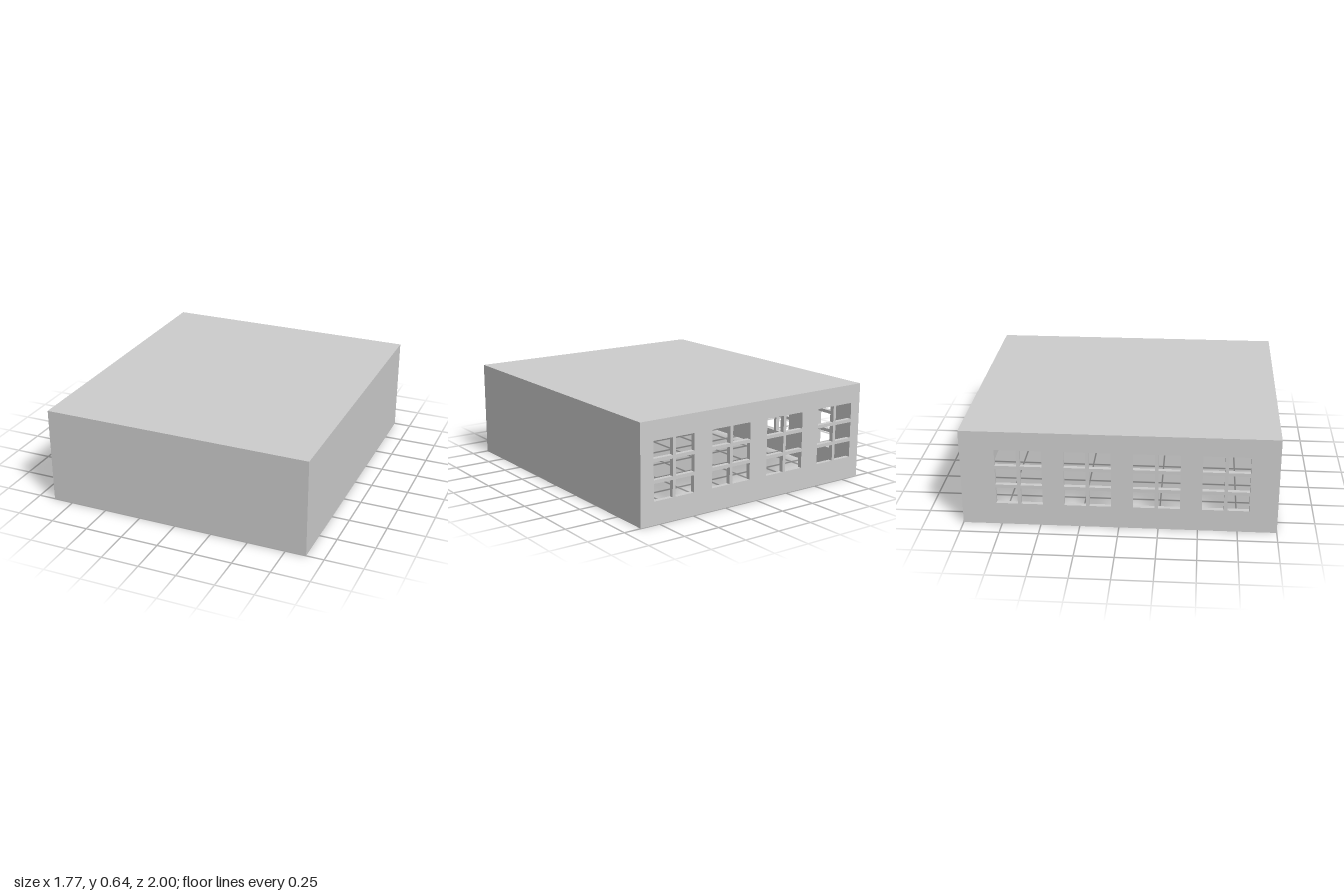
import * as THREE from 'three';

const W = 0.885, L = 1, H = 0.645, T = 0.03;      // half width, half length, height, thickness
const WIN = { w: 0.297, h: 0.373, y: 0.148, pitch: 0.4345, count: 4, cols: 2, rows: 3, bar: 0.022 };

const material = new THREE.MeshStandardMaterial({ color: 0xcccccc });

function rectangle(target, x, y, w, h) {
  target.moveTo(x, y);
  target.lineTo(x + w, y);
  target.lineTo(x + w, y + h);
  target.lineTo(x, y + h);
  target.closePath();
  return target;
}

// Upright wall from x = -half to half; windows start at firstX, panes are separated by glazing bars
function wall(name, half, firstX = null) {
  const shape = rectangle(new THREE.Shape(), -half, 0, 2 * half, H - T);
  if (firstX !== null) {
    const pw = (WIN.w - (WIN.cols - 1) * WIN.bar) / WIN.cols;
    const ph = (WIN.h - (WIN.rows - 1) * WIN.bar) / WIN.rows;
    for (let i = 0; i < WIN.count; i++)
      for (let c = 0; c < WIN.cols; c++)
        for (let r = 0; r < WIN.rows; r++)
          shape.holes.push(rectangle(new THREE.Path(),
            firstX + i * WIN.pitch + c * (pw + WIN.bar),
            WIN.y + r * (ph + WIN.bar), pw, ph));
  }
  const geometry = new THREE.ExtrudeGeometry(shape, { depth: T, bevelEnabled: false });
  const mesh = new THREE.Mesh(geometry, material);
  mesh.name = name;
  return mesh;
}

export function createModel() {
  const group = new THREE.Group();
  group.name = 'room';

  // Flat roof, its underside is the ceiling
  const roof = new THREE.Mesh(new THREE.BoxGeometry(2 * W, T, 2 * L), material);
  roof.name = 'roof';
  roof.position.y = H - T / 2;

  // Plain front wall and windowed back wall
  const front = wall('frontWall', W);
  front.position.z = L - T;
  const back = wall('backWindowWall', W, -0.81);
  back.position.z = -L;

  // Side walls fit between front and back; the one at -x has windows
  const left = wall('leftWall', L - T);
  left.rotation.y = -Math.PI / 2;
  left.position.x = W;
  const right = wall('rightWindowWall', L - T, -0.78);
  right.rotation.y = -Math.PI / 2;
  right.position.x = -W + T;

  group.add(roof, front, back, left, right);
  return group;
}
